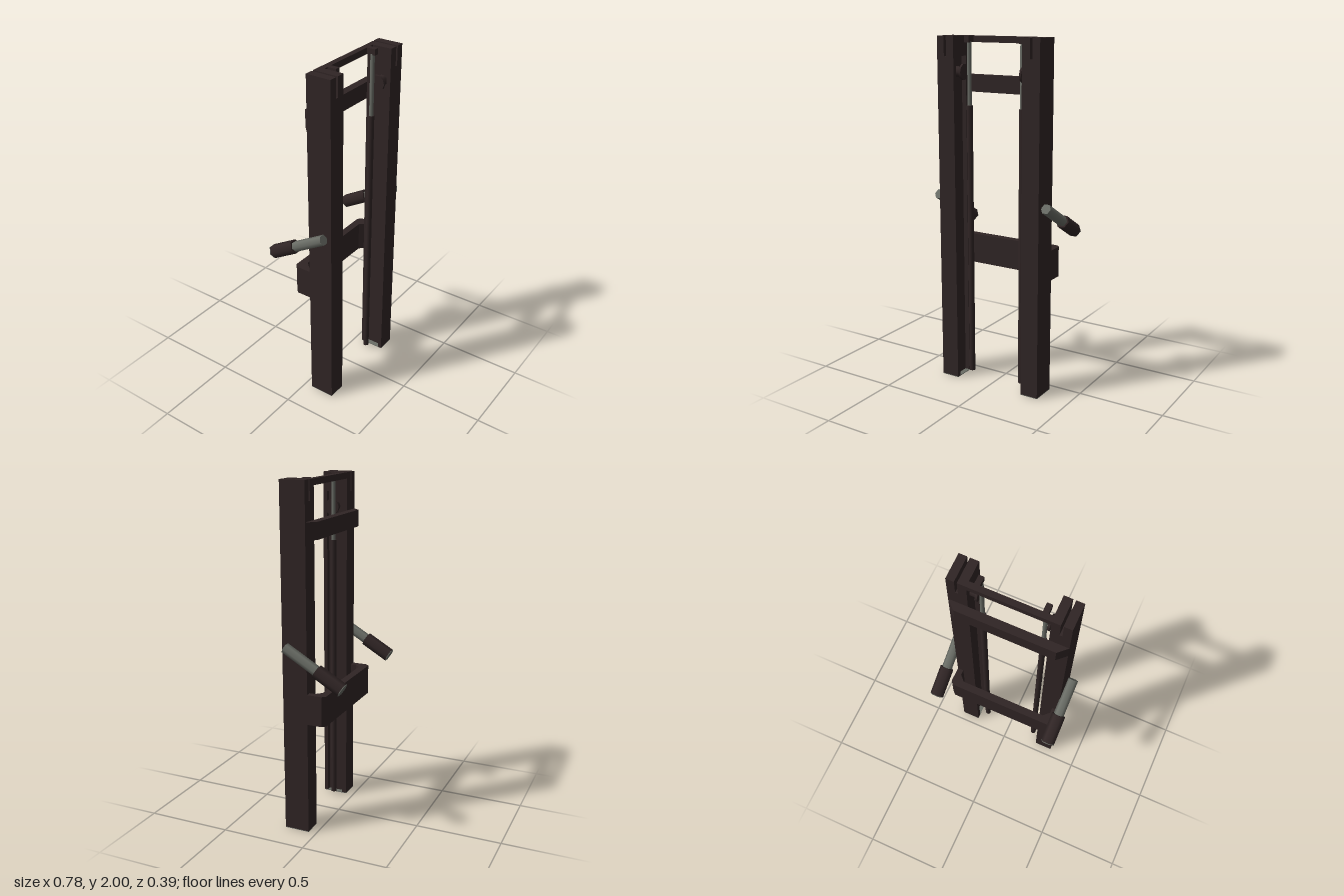
import * as THREE from 'three';

export function createModel() {
  const root = new THREE.Group();
  const brown = new THREE.MeshStandardMaterial({ color: 0x302525 });
  brown.name = 'dark brown paint';
  const steel = new THREE.MeshStandardMaterial({ color: 0x6a6d66 });
  steel.name = 'grey steel';

  const add = (parent, name, geometry, material) => {
    const mesh = new THREE.Mesh(geometry, material);
    mesh.name = name;
    parent.add(mesh);
    return mesh;
  };
  // box given by its limits on each axis
  const box = (parent, name, x0, x1, y0, y1, z0, z1, material = brown) =>
    add(parent, name, new THREE.BoxGeometry(x1 - x0, y1 - y0, z1 - z0), material)
      .position.set((x0 + x1) / 2, (y0 + y1) / 2, (z0 + z1) / 2);
  // upright prism from an x/z outline
  const beam = (name, points, y0, y1) => {
    const shape = new THREE.Shape(points.map(([x, z]) => new THREE.Vector2(x, z)));
    const geometry = new THREE.ExtrudeGeometry(shape, { depth: y1 - y0, bevelEnabled: false });
    geometry.rotateX(Math.PI / 2);
    add(root, name, geometry, brown).position.y = y1;
  };
  // hexagonal bar along local y, with corners on x
  const hexBar = (parent, name, r, y0, y1, material) =>
    add(parent, name, new THREE.CylinderGeometry(r, r, y1 - y0, 6, 1, false, Math.PI / 2), material)
      .position.y = (y0 + y1) / 2;

  for (const s of [-1, 1]) {
    const side = s > 0 ? 'left' : 'right';
    const sideBox = (parent, name, x0, x1, ...rest) =>
      box(parent, name, Math.min(s * x0, s * x1), Math.max(s * x0, s * x1), ...rest);

    // upright post: web with a slot at the top, and flanges facing inward
    const post = new THREE.Group();
    post.name = side + 'Post';
    root.add(post);
    sideBox(post, 'web', 0.245, 0.325, 0.004, 1.89, 0.047, 0.195);
    sideBox(post, 'outerTop', 0.28, 0.325, 1.89, 2, 0.047, 0.195);
    sideBox(post, 'innerTop', 0.217, 0.265, 1.89, 2, 0.047, 0.195);
    sideBox(post, 'frontFlange', 0.217, 0.245, 0.004, 1.89, 0.172, 0.195);
    sideBox(post, 'backFlange', 0.217, 0.245, 0.004, 1.89, 0.047, 0.075);
    sideBox(post, 'footPlate', 0.217, 0.325, 0, 0.004, 0.047, 0.195, steel);

    // lift cylinder, its rod and the tab that holds the rod
    const lift = new THREE.Group();
    lift.name = side + 'Lift';
    lift.position.set(s * 0.17, 0, 0.11);
    root.add(lift);
    add(lift, 'liftCylinder', new THREE.CylinderGeometry(0.017, 0.017, 1.59, 12), brown).position.y = 0.825;
    add(lift, 'liftRod', new THREE.CylinderGeometry(0.012, 0.012, 0.36, 12), steel).position.y = 1.79;
    sideBox(root, side + 'RodTab', 0.16, 0.19, 1.965, 2, 0.08, 0.13);

    // guide roller on the inside of the post
    const roller = new THREE.Group();
    roller.name = side + 'Roller';
    roller.position.set(0, 1.805, 0.13);
    root.add(roller);
    for (const [name, r, x0, x1] of [['wheel', 0.045, 0.187, 0.2], ['axle', 0.03, 0.2, 0.247]]) {
      const geometry = new THREE.CylinderGeometry(r, r, x1 - x0, 10).rotateZ(Math.PI / 2);
      add(roller, name, geometry, brown).position.x = s * (x0 + x1) / 2;
    }

    // tilted side handle
    const handle = new THREE.Group();
    handle.name = side + 'Handle';
    handle.position.set(s * 0.352, 0.995, -0.026);
    handle.rotation.x = Math.PI / 3;
    root.add(handle);
    hexBar(handle, 'handleRod', 0.03, 0, 0.22, steel);
    hexBar(handle, 'grip', 0.04, -0.172, 0, brown);
    hexBar(handle, 'gripEnd', 0.04, -0.176, -0.172, steel);
  }

  // cross members joining the posts
  box(root, 'topBar', -0.217, 0.217, 1.965, 2, 0.047, 0.08);
  beam('upperCrossbeam', [[-0.325, 0.047], [-0.275, 0], [0.275, 0], [0.325, 0.047]], 1.69, 1.785);
  beam('lowerCrossbeam', [
    [-0.325, 0.047], [-0.325, -0.04], [-0.305, -0.06], [0.305, -0.06], [0.325, -0.04], [0.325, 0.047],
    [0.29, 0.047], [0.29, 0.016], [0.257, -0.017], [-0.257, -0.017], [-0.29, 0.016], [-0.29, 0.047],
  ], 0.665, 0.84);

  return root;
}
